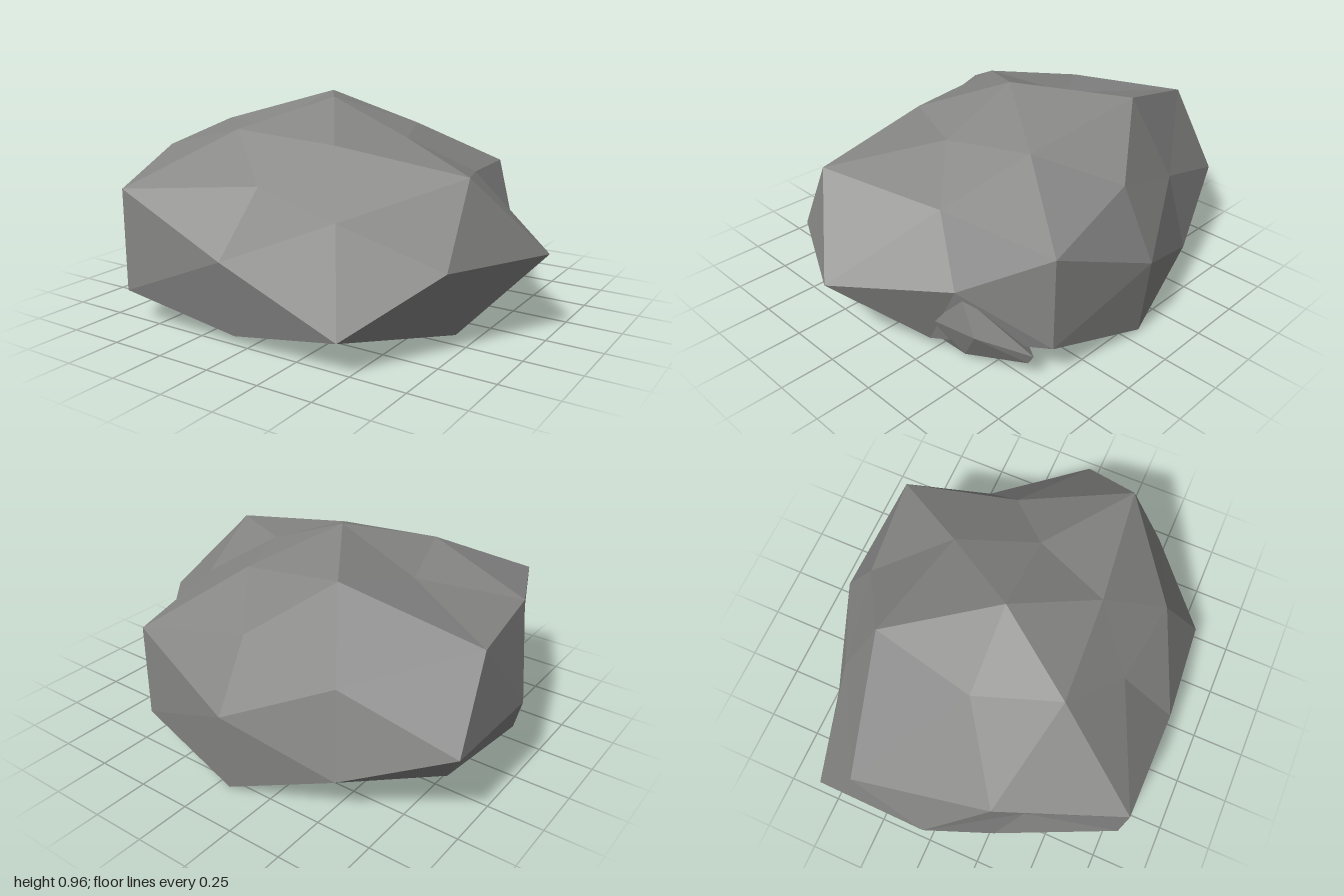
import * as THREE from 'three';
import { ConvexGeometry } from 'three/addons/geometries/ConvexGeometry.js';

// Radius of each boulder corner, grouped by the axes its direction uses
// (dominant axis first for three-axis directions). Within a group the order
// runs through the signs: ++, -+, +-, -- and so on.
const RADII = {
  x: [0.97, 0.845],
  y: [0.78, 0.7],
  z: [0.83, 0.84],
  yz: [0.67, 0.88, 0.79, 0.945],
  xy: [0.67, 0.66, 0.86, 0.85],
  xz: [0.89, 0.73, 0.78, 0.985],
  Xxyz: [0.935, 0.87, 0.88, 0.88, 0.7, 1, 0.83, 0.83],
  Yxyz: [0.71, 0.76, 0.95, 0.95, 0.72, 0.91, 0.88, 0.88],
  Zxyz: [0.775, 1, 1, 1, 0.93, 0.76, 0.93, 0.86],
};

function radiusFor(dir) {
  const used = ['x', 'y', 'z'].filter((a) => Math.abs(dir[a]) > 1e-3);
  let key = used.join('');
  if (used.length === 3) {
    const main = used.reduce((a, b) => (Math.abs(dir[a]) > Math.abs(dir[b]) ? a : b));
    key = main.toUpperCase() + key;
  }
  const index = used.reduce((sum, a, i) => sum + (dir[a] < 0 ? 1 << i : 0), 0);
  return RADII[key][index];
}

// Faceted ball pushed in and out, widened, and flattened on the ground
function boulderGeometry() {
  const geometry = new THREE.IcosahedronGeometry(1, 1);
  const position = geometry.attributes.position;
  const v = new THREE.Vector3();
  for (let i = 0; i < position.count; i++) {
    v.fromBufferAttribute(position, i).normalize();
    const r = radiusFor(v);
    position.setXYZ(i, -0.07 + 1.1 * r * v.x, Math.max(0, 0.38 + 0.74 * r * v.y), r * v.z);
  }
  geometry.computeVertexNormals();
  return geometry;
}

// Small stone half buried in the left rear flank
function pebbleGeometry() {
  const corners = [
    [0.64, 0.37, -0.42], [0.68, 0.19, -0.28], [0.64, 0.19, -0.5],
    [0.5, 0.13, -0.7], [0.5, 0.08, -0.67], [0.62, 0.05, -0.14],
    [0.6, 0.03, -0.4], [0.3, 0.1, -0.4],
  ];
  return new ConvexGeometry(corners.map((p) => new THREE.Vector3(...p)));
}

export function createModel() {
  const group = new THREE.Group();
  group.name = 'rock';
  const stone = new THREE.MeshStandardMaterial({ color: 0x868685 });
  stone.name = 'stone grey';
  stone.flatShading = true;

  const boulder = new THREE.Mesh(boulderGeometry(), stone);
  boulder.name = 'boulder';
  const pebble = new THREE.Mesh(pebbleGeometry(), stone);
  pebble.name = 'buriedStone';
  group.add(boulder, pebble);
  return group;
}
